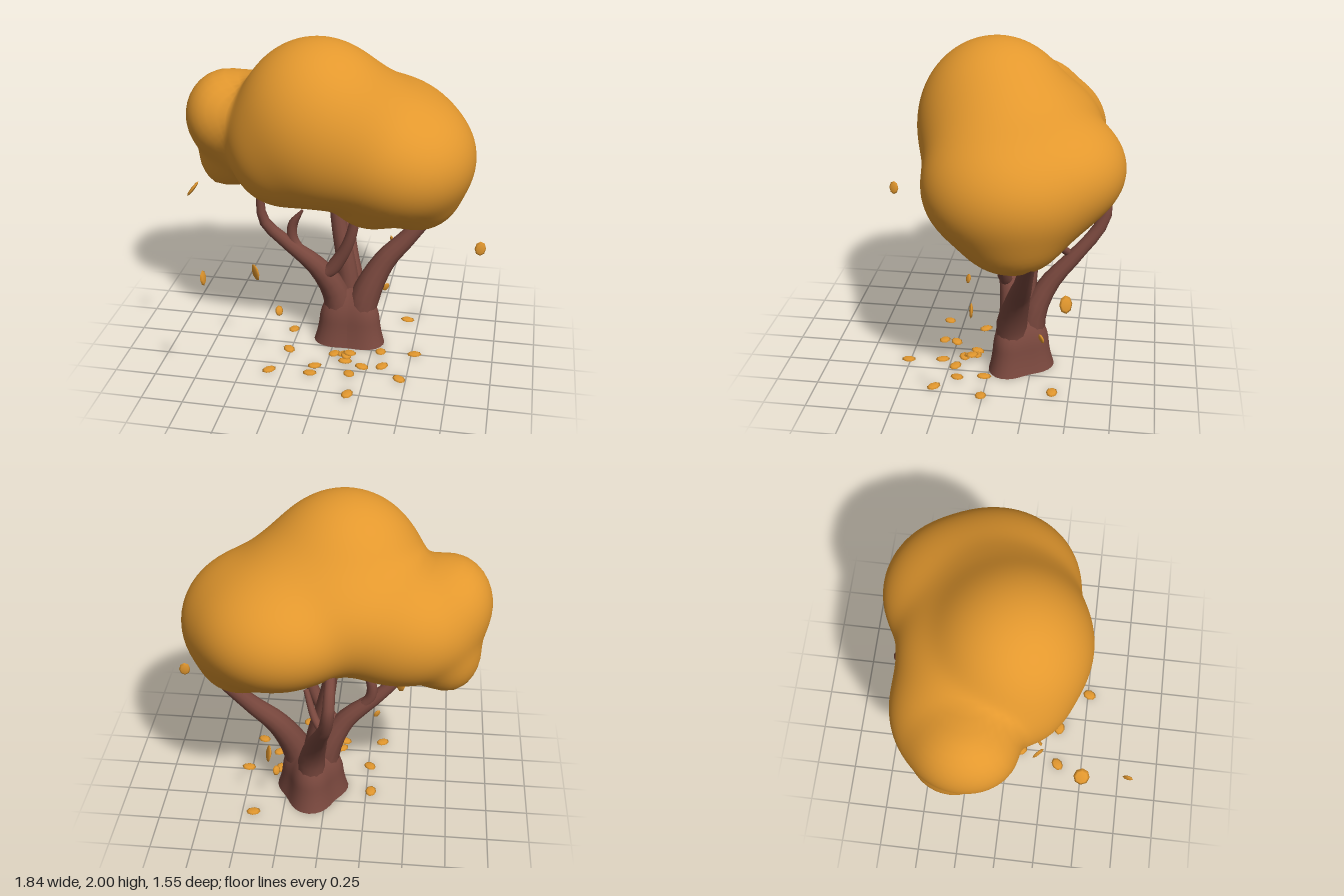
import * as THREE from 'three';
import { mergeVertices } from 'three/addons/utils/BufferGeometryUtils.js';

const V = (a) => new THREE.Vector3(...a);

// Smooth blob: a sphere pushed out to the blended surface of several ellipsoids,
// cut below by a floor height that depends on x
function blobGeometry(origin, ellipsoids, floor) {
  const geo = new THREE.IcosahedronGeometry(1, 22);
  geo.deleteAttribute('normal');
  geo.deleteAttribute('uv');
  const merged = mergeVertices(geo, 1e-4);
  const k = 9;
  const field = (p) => {
    let sum = 0;
    for (const [c, r] of ellipsoids) {
      const d = Math.hypot((p.x - c[0]) / r[0], (p.y - c[1]) / r[1], (p.z - c[2]) / r[2]);
      sum += Math.exp(k * (1 - d));
    }
    return Math.min(Math.log(sum) / k, p.y - floor(p.x));
  };
  const pos = merged.attributes.position;
  const o = V(origin), d = new THREE.Vector3(), p = new THREE.Vector3();
  for (let i = 0; i < pos.count; i++) {
    d.fromBufferAttribute(pos, i).normalize();
    let lo = 0, hi = 1.4;
    for (let n = 0; n < 22; n++) {
      const mid = (lo + hi) / 2;
      p.copy(o).addScaledVector(d, mid);
      if (field(p) > 0) lo = mid; else hi = mid;
    }
    p.copy(o).addScaledVector(d, lo);
    pos.setXYZ(i, p.x, p.y, p.z);
  }
  merged.computeVertexNormals();
  return merged;
}

// Tube along a smooth path whose radius follows a list of values
function branchGeometry(points, radii) {
  const seg = 16, sides = 12;
  const curve = new THREE.CatmullRomCurve3(points.map(V));
  const geo = new THREE.TubeGeometry(curve, seg, 1, sides);
  const pos = geo.attributes.position, p = new THREE.Vector3();
  for (let i = 0; i <= seg; i++) {
    const c = curve.getPointAt(i / seg);
    const f = (i / seg) * (radii.length - 1);
    const a = Math.min(Math.floor(f), radii.length - 2);
    const r = THREE.MathUtils.lerp(radii[a], radii[a + 1], f - a);
    for (let j = 0; j <= sides; j++) {
      const n = i * (sides + 1) + j;
      p.fromBufferAttribute(pos, n).sub(c).multiplyScalar(r).add(c);
      pos.setXYZ(n, p.x, p.y, p.z);
    }
  }
  return geo;
}

// Flared trunk base with three lobes (left, right, back), narrowing into the fork
function trunkGeometry() {
  const h = 0.36;
  const geo = new THREE.CylinderGeometry(1, 1, h, 36, 14);
  geo.translate(0, h / 2, 0);
  const pos = geo.attributes.position;
  for (let i = 0; i < pos.count; i++) {
    const x = pos.getX(i), y = pos.getY(i), z = pos.getZ(i);
    const flare = 0.034 * Math.max(0, 1 - y / 0.22) ** 2;
    const top = 0.1 * Math.max(0, (y - 0.16) / 0.2) ** 2;
    const lobe = 1 + 0.15 * Math.sin(3 * Math.atan2(z, x));
    const r = (0.176 + flare - top) * lobe;
    pos.setXYZ(i, 0.09 + x * r, y, -0.16 + z * r * 0.92);
  }
  geo.computeVertexNormals();
  return geo;
}

export function createModel() {
  const tree = new THREE.Group();
  tree.name = 'autumnTree';
  const foliage = new THREE.MeshStandardMaterial({ name: 'autumn orange', color: 0xe3982e });
  const bark = new THREE.MeshStandardMaterial({ name: 'bark brown', color: 0x7a483e, side: THREE.DoubleSide });

  const add = (name, geo, mat, parent = tree) => {
    const m = new THREE.Mesh(geo, mat);
    m.name = name;
    parent.add(m);
    return m;
  };

  // Canopy: crown, right lobe and left lobe melted together, flat underneath
  add('canopy', blobGeometry([0, 1.37, -0.12], [
    [[-0.09, 1.5, 0], [0.46, 0.495, 0.455]],
    [[-0.3, 1.36, 0.06], [0.29, 0.34, 0.29]],
    [[0.12, 1.4, -0.1], [0.42, 0.4, 0.46]],
    [[0.38, 1.27, -0.13], [0.445, 0.38, 0.48]],
    [[0.25, 1.36, -0.35], [0.43, 0.32, 0.415]],
    [[0.5, 1.07, -0.16], [0.24, 0.24, 0.28]],
    [[0.22, 1.07, -0.12], [0.25, 0.24, 0.28]],
    [[-0.1, 1.43, -0.24], [0.4, 0.32, 0.37]],
    [[-0.42, 1.36, -0.25], [0.43, 0.34, 0.375]],
    [[-0.68, 1.46, -0.17], [0.235, 0.26, 0.28]],
    [[-0.68, 1.18, -0.25], [0.19, 0.22, 0.22]],
  ], (x) => 1.02 - 0.18 * THREE.MathUtils.smoothstep(x, -0.4, 0.15)), foliage);

  // Trunk and branches
  add('trunk', trunkGeometry(), bark);
  const branches = [
    ['rightBranch', [[0.15, 0.06, -0.12], [0.18, 0.3, -0.13], [0.29, 0.54, -0.18], [0.43, 0.7, -0.22], [0.62, 0.93, -0.27]],
      [0.085, 0.093, 0.07, 0.052, 0.04]],
    ['leftBranch', [[0.03, 0.06, -0.12], [0.0, 0.32, -0.12], [-0.11, 0.52, -0.08], [-0.3, 0.69, -0.05], [-0.43, 0.84, -0.02], [-0.45, 1.04, -0.02]],
      [0.085, 0.09, 0.066, 0.044, 0.034, 0.022]],
    ['leftTwig', [[-0.2, 0.61, -0.07], [-0.26, 0.7, -0.07], [-0.26, 0.8, -0.07], [-0.2, 0.9, -0.07]],
      [0.03, 0.034, 0.03, 0.008]],
    ['innerBranch', [[-0.1, 0.5, -0.08], [-0.05, 0.49, -0.07], [0.04, 0.61, -0.06], [0.1, 0.75, -0.05], [0.14, 0.95, -0.05]],
      [0.035, 0.045, 0.038, 0.033, 0.028]],
    ['backBranch', [[0.09, 0.06, -0.23], [0.08, 0.34, -0.25], [0.04, 0.53, -0.34], [0, 0.72, -0.5], [-0.04, 0.89, -0.63], [-0.06, 1.04, -0.665], [-0.06, 1.13, -0.6], [-0.06, 1.25, -0.5]],
      [0.085, 0.088, 0.068, 0.052, 0.042, 0.038, 0.032, 0.025]],
    ['middleBranch', [[0.09, 0.15, -0.18], [0.05, 0.5, -0.2], [0.0, 0.75, -0.23], [-0.05, 1.06, -0.27]],
      [0.08, 0.065, 0.05, 0.035]],
    ['backTwig', [[-0.02, 0.7, -0.46], [0.04, 0.77, -0.41], [0.1, 0.92, -0.33]],
      [0.025, 0.022, 0.016]],
  ];
  for (const [name, points, radii] of branches) add(name, branchGeometry(points, radii), bark);

  // Lens-shaped leaf, reused for every falling and fallen leaf
  const leafGeo = new THREE.SphereGeometry(1, 8, 4);
  const leaf = (parent, name, at, normal, length, width) => {
    const m = add(name, leafGeo, foliage, parent);
    m.position.set(...at);
    m.scale.set(width, 0.01, length);
    const n = V(normal).normalize();
    // Long axis points upward as far as the leaf plane allows
    const long = new THREE.Vector3(0, 1, 0).addScaledVector(n, -n.y).normalize();
    const side = new THREE.Vector3().crossVectors(n, long);
    m.quaternion.setFromRotationMatrix(new THREE.Matrix4().makeBasis(side, n, long));
  };

  const falling = new THREE.Group();
  falling.name = 'fallingLeaves';
  tree.add(falling);
  [
    [[-0.705, 1.235, 0.465], [0.8, -0.6, 0], 0.058, 0.045],
    [[-0.58, 0.835, 0.75], [1, 0.1, 0.2], 0.045, 0.032],
    [[-0.43, 0.6, 0.21], [0.7, 0.1, -0.7], 0.056, 0.044],
    [[-0.29, 0.35, 0.21], [0.6, 0.3, 0.75], 0.033, 0.026],
    [[0.29, 0.285, -0.32], [0.6, -0.3, 0.75], 0.033, 0.026],
    [[0.31, 0.535, -0.46], [0.9, 0.2, -0.4], 0.056, 0.04],
    [[0.885, 0.775, 0], [0.2, 0.05, 1], 0.046, 0.034],
  ].forEach((l) => leaf(falling, 'fallingLeaf', ...l));

  // Leaves scattered and stacked on the ground: x, y, z
  const fallen = new THREE.Group();
  fallen.name = 'fallenLeaves';
  tree.add(fallen);
  [
    [0.43, 0.01, -0.4], [-0.33, 0.01, 0.34], [-0.28, 0.01, -0.15], [-0.26, 0.01, 0.09],
    [-0.08, 0.01, 0.33], [-0.065, 0.012, 0.25], [0.18, 0.01, 0.51], [0.155, 0.012, 0.3],
    [0.22, 0.012, 0.21], [0.09, 0.02, 0.1], [0.03, 0.015, 0.1], [0.11, 0.03, 0.13],
    [0.13, 0.042, 0.12], [0.11, 0.015, 0.17], [0.34, 0.01, 0.18], [0.31, 0.01, 0.02],
    [0.46, 0.01, 0.3], [0.52, 0.01, 0.01],
  ].forEach((at, i) => {
    const a = i * 2.4;
    leaf(fallen, 'fallenLeaf', at, [0.06 * Math.cos(a), 1, 0.06 * Math.sin(a)], 0.045, 0.034);
  });
  return tree;
}
